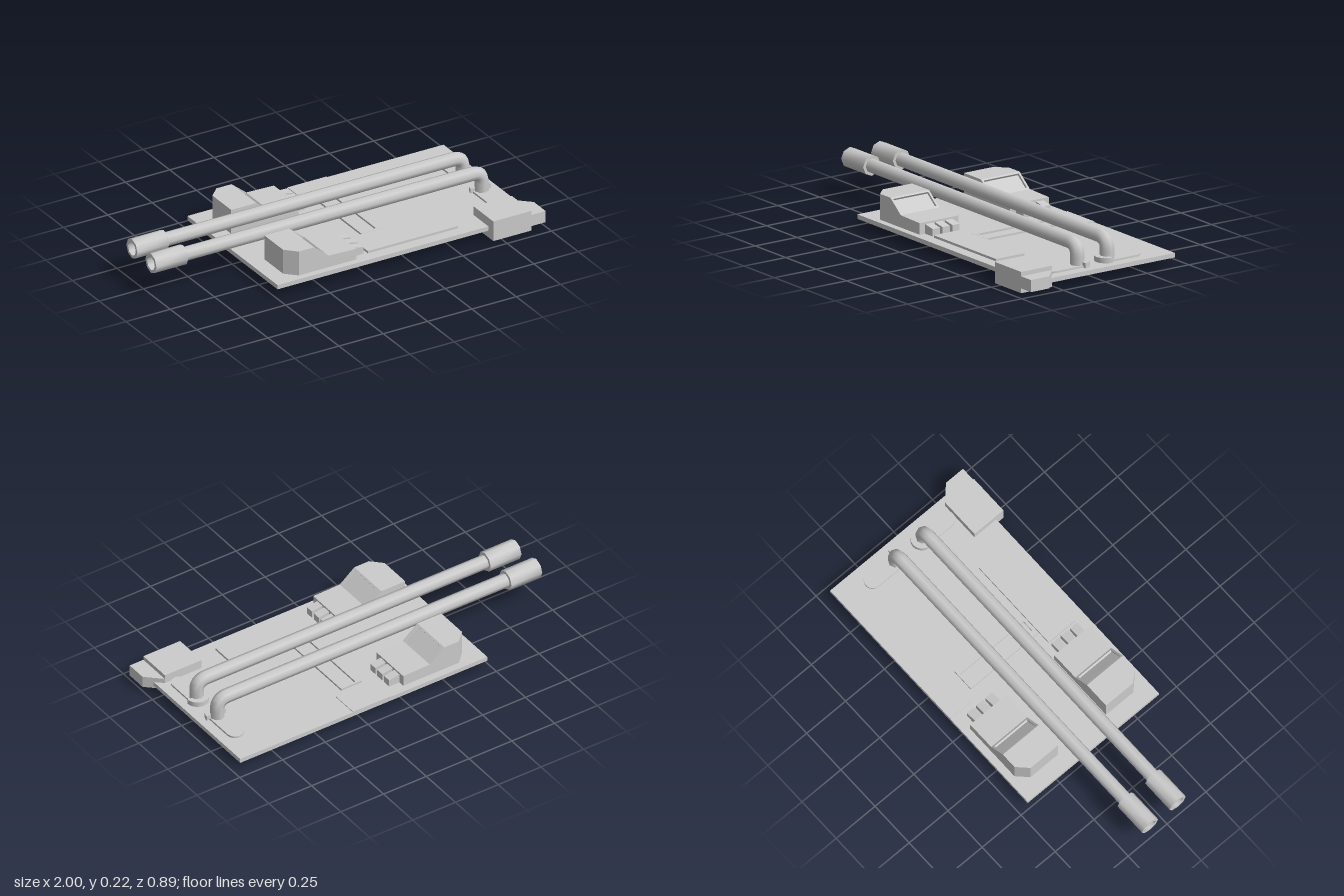
import * as THREE from 'three';
import { toCreasedNormals } from 'three/addons/utils/BufferGeometryUtils.js';

const material = new THREE.MeshStandardMaterial({ color: 0xcccccc });
const MID = -0.02; // z of the plane the paired parts mirror about
const PIPE_Y = 0.17, PIPE_R = 0.036, PIPE_W = 0.089;

function add(parent, name, geometry) {
  const mesh = new THREE.Mesh(geometry, material);
  mesh.name = name;
  parent.add(mesh);
  return mesh;
}

// Box given by its extents
function box(parent, name, x1, x2, y1, y2, z1, z2) {
  const g = new THREE.BoxGeometry(x2 - x1, y2 - y1, z2 - z1);
  g.translate((x1 + x2) / 2, (y1 + y2) / 2, (z1 + z2) / 2);
  return add(parent, name, g);
}

const shapeOf = (pts) => new THREE.Shape(pts.map(([a, b]) => new THREE.Vector2(a, b)));

// Outline in x,z raised from y1 to y2
function plan(parent, name, shape, y1, y2) {
  const g = new THREE.ExtrudeGeometry(shape, { depth: y2 - y1, bevelEnabled: false, curveSegments: 10 });
  g.rotateX(Math.PI / 2).translate(0, y2, 0);
  return add(parent, name, toCreasedNormals(g, 0.7));
}

// Outline in x,y swept between two z values
function profile(parent, name, pts, za, zb) {
  const g = new THREE.ExtrudeGeometry(shapeOf(pts), { depth: Math.abs(zb - za), bevelEnabled: false });
  g.translate(0, 0, Math.min(za, zb));
  return add(parent, name, g);
}

function createConnector(z) {
  const group = new THREE.Group();
  group.name = 'connector';
  const inner = 0.155, outer = 0.386;

  // Tall head with one chamfered outer corner
  plan(group, 'connectorHead', shapeOf([
    [-0.4, z(inner)], [-0.26, z(inner)], [-0.26, z(outer)], [-0.345, z(outer)], [-0.4, z(outer - 0.055)],
  ]), 0.05, 0.19);

  // Sloped body: cheeks at full height, window sunk between them
  const full = [[-0.26, 0.05], [-0.02, 0.05], [-0.02, 0.118], [-0.175, 0.122], [-0.26, 0.19]];
  const sunk = [[-0.26, 0.05], [-0.02, 0.05], [-0.02, 0.118], [-0.175, 0.122],
    [-0.184, 0.129], [-0.191, 0.12], [-0.259, 0.174], [-0.252, 0.184], [-0.26, 0.19]];
  profile(group, 'connectorCheek', full, z(inner), z(inner + 0.011));
  profile(group, 'connectorWindow', sunk, z(inner + 0.011), z(outer - 0.011));
  profile(group, 'connectorCheek', full, z(outer - 0.011), z(outer));

  // Three contacts
  const contact = [[-0.03, 0.05], [0.04, 0.05], [0.04, 0.097], [-0.02, 0.108], [-0.03, 0.108]];
  for (let i = 0; i < 3; i++) {
    const w = 0.191 + i * 0.059;
    profile(group, 'contact', contact, z(w), z(w + 0.044));
  }
  return group;
}

function createPipe(z) {
  const group = new THREE.Group();
  group.name = 'pipe';
  const zc = z(PIPE_W), end = 0.865, bend = 0.055;

  // Long run that turns down into the board
  const v = (x, y) => new THREE.Vector3(x, y, zc);
  const path = new THREE.CurvePath();
  path.add(new THREE.LineCurve3(v(-0.85, PIPE_Y), v(end - bend, PIPE_Y)));
  path.add(new THREE.QuadraticBezierCurve3(v(end - bend, PIPE_Y), v(end, PIPE_Y), v(end, PIPE_Y - bend)));
  path.add(new THREE.LineCurve3(v(end, PIPE_Y - bend), v(end, 0.05)));
  add(group, 'pipeTube', new THREE.TubeGeometry(path, 120, PIPE_R, 8));

  // Hollow end sleeve, closed lathe section
  const section = [[0, 0.15], [0.036, 0.15], [0.036, 0], [0.052, 0], [0.052, 0.18], [0, 0.18]];
  const g = new THREE.LatheGeometry(section.map(([r, h]) => new THREE.Vector2(r, h)), 8);
  g.rotateZ(-Math.PI / 2).translate(-1, PIPE_Y, zc);
  add(group, 'endSleeve', toCreasedNormals(g, 0.9));

  // Rounded slot plate and half collar at the foot
  const slot = [], collar = [], r = 0.043;
  for (let i = 0; i <= 12; i++) {
    const a = (i / 12) * Math.PI;
    slot.push([0.863 + r * Math.cos(a), z(0.237 + r * Math.sin(a))]);
    collar.push([end + 0.057 * Math.cos(a), z(0.082 - 0.057 * Math.sin(a))]);
  }
  for (let i = 0; i <= 12; i++) {
    const a = Math.PI + (i / 12) * Math.PI;
    slot.push([0.863 + r * Math.cos(a), z(0.073 + r * Math.sin(a))]);
  }
  plan(group, 'slotPlate', shapeOf(slot), 0.05, 0.07);
  plan(group, 'halfCollar', shapeOf(collar), 0.05, 0.086);
  return group;
}

export function createModel() {
  const model = new THREE.Group();
  model.name = 'boardWithPipes';

  box(model, 'board', -0.485, 0.96, 0.037, 0.06, -0.445, 0.4);

  // Mirrored pairs
  for (const s of [1, -1]) {
    const z = (w) => MID + s * w;
    model.add(createConnector(z), createPipe(z));
  }

  // Low details on the board
  box(model, 'longPad', 0.06, 0.57, 0.05, 0.072, 0.17, 0.34);
  box(model, 'edgePad', 0.08, 0.3, 0.05, 0.064, -0.445, -0.3);
  const frame = shapeOf([[0.13, -0.27], [0.25, -0.27], [0.25, 0.165], [0.13, 0.165]]);
  frame.holes.push(new THREE.Path([[0.16, -0.26], [0.16, 0.15], [0.22, 0.15], [0.22, -0.26]]
    .map(([a, b]) => new THREE.Vector2(a, b))));
  plan(model, 'centreFrame', frame, 0.05, 0.07);

  // Corner plug with a chamfered tip
  box(model, 'plugBody', 0.705, 0.92, 0, 0.107, 0.26, 0.445);
  plan(model, 'plugTip', shapeOf([[0.91, 0.26], [0.92, 0.26], [1, 0.335], [1, 0.445], [0.91, 0.445]]), 0.024, 0.085);

  return model;
}
